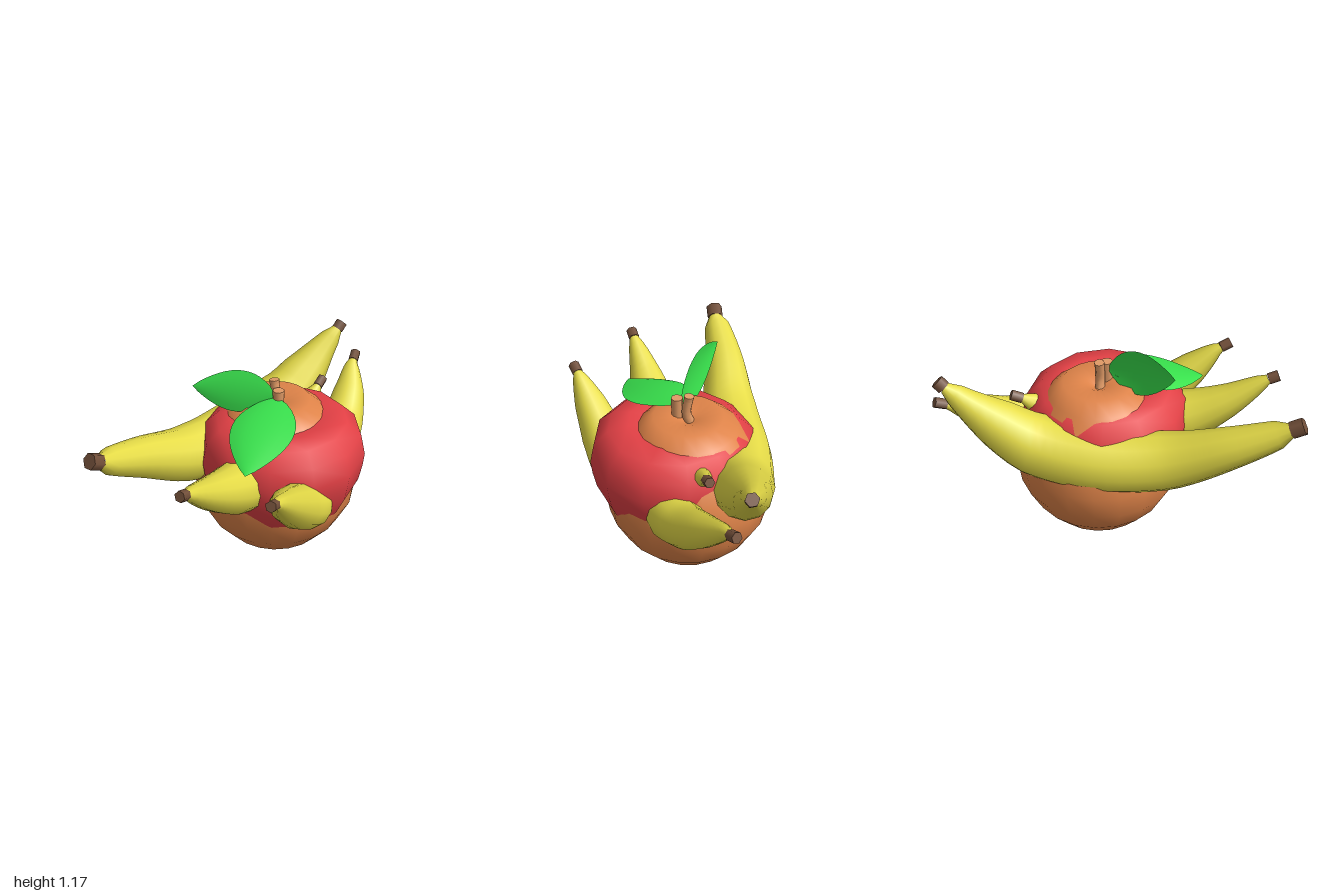
import * as THREE from 'three';

const V = (x, y, z) => new THREE.Vector3(x, y, z);
const mat = (color, side = THREE.FrontSide) => new THREE.MeshStandardMaterial({ color, side });
const skin = mat(0xe6dc48), brown = mat(0x73503a), wood = mat(0xe09a66);
const green = mat(0x38e04c, THREE.DoubleSide);

function part(name, geometry, material) {
  const mesh = new THREE.Mesh(geometry, material);
  mesh.name = name;
  return mesh;
}

// Round fruit turned from a bottom-to-top profile of [radius, height]
function fruit(name, profile, sides, color, x, z) {
  const points = profile.map(([r, y]) => new THREE.Vector2(r, y));
  const mesh = part(name, new THREE.LatheGeometry(points, sides), mat(color));
  mesh.position.set(x, 0, z);
  return mesh;
}

// Straight cylinder between two points
function rod(name, a, b, r0, r1, sides, material) {
  const dir = b.clone().sub(a);
  const mesh = part(name, new THREE.CylinderGeometry(r1, r0, dir.length(), sides), material);
  mesh.position.copy(a).add(b).multiplyScalar(0.5);
  mesh.quaternion.setFromUnitVectors(V(0, 1, 0), dir.normalize());
  return mesh;
}

// Tapered curved body; stations are [x, y, z, radius], tips are [endPoint, radius]
function banana(name, stations, startTip, endTip) {
  const group = new THREE.Group();
  group.name = name;
  const path = new THREE.CatmullRomCurve3(stations.map(s => V(s[0], s[1], s[2])));
  const steps = 28, sides = 12, last = stations.length - 1;
  const geo = new THREE.TubeGeometry(path, steps, 1, sides);
  const pos = geo.attributes.position, v = V(0, 0, 0);
  for (let i = 0; i <= steps; i++) {
    const center = path.getPointAt(i / steps);
    const t = path.getUtoTmapping(i / steps) * last;
    const k = Math.min(Math.floor(t), last - 1);
    const r = THREE.MathUtils.lerp(stations[k][3], stations[k + 1][3], t - k);
    for (let j = 0; j <= sides; j++) {
      const n = i * (sides + 1) + j;
      v.fromBufferAttribute(pos, n).sub(center).multiplyScalar(r).add(center);
      pos.setXYZ(n, v.x, v.y, v.z);
    }
  }
  group.add(part('bananaBody', geo, skin));
  [[startTip, 0], [endTip, last]].forEach(([tip, index]) => {
    if (!tip) return;
    const [x, y, z] = stations[index];
    group.add(rod('bananaTip', V(x, y, z), V(...tip[0]), tip[1], tip[1], 6, brown));
  });
  return group;
}

// Pointed leaf: spine from base to tip, half-width vector, and an arch vector for the midrib
function leaf(name, base, tip, half, arch) {
  const geo = new THREE.PlaneGeometry(1, 1, 14, 6);
  const pos = geo.attributes.position;
  for (let i = 0; i < pos.count; i++) {
    const u = pos.getX(i) + 0.5, w = pos.getY(i) * 2;
    const width = Math.pow(Math.sin(Math.PI * Math.pow(u, 0.85)), 0.85) || 0;
    const p = base.clone().lerp(tip, u)
      .addScaledVector(half, w * width)
      .addScaledVector(arch, Math.sin(Math.PI * u) * (1 - 0.9 * w * w));
    pos.setXYZ(i, p.x, p.y, p.z);
  }
  geo.computeVertexNormals();
  return part(name, geo, green);
}

export function createModel() {
  const model = new THREE.Group();
  model.name = 'fruitPile';

  // Orange at the base and apple merged into its front
  model.add(fruit('orange', [[0, 0], [0.14, 0.025], [0.27, 0.09], [0.37, 0.2], [0.44, 0.33],
    [0.46, 0.47], [0.435, 0.62], [0.355, 0.75], [0.265, 0.855], [0.19, 0.92], [0.07, 0.905], [0, 0.87]],
    20, 0xe08449, 0.1, -0.055));
  model.add(fruit('apple', [[0, 0.16], [0.2, 0.17], [0.3, 0.26], [0.382, 0.38], [0.43, 0.48],
    [0.45, 0.57], [0.46, 0.65], [0.437, 0.765], [0.36, 0.84], [0.25, 0.863], [0.1, 0.82], [0, 0.78]],
    12, 0xe24045, 0.063, 0.017));

  // Bananas
  model.add(banana('backBanana', [
    [-0.91, 0.885, -0.4, 0.039], [-0.88, 0.87, -0.4, 0.066], [-0.62, 0.765, -0.4, 0.112],
    [-0.28, 0.638, -0.365, 0.16], [0.1, 0.613, -0.35, 0.168], [0.43, 0.665, -0.288, 0.17],
    [0.62, 0.772, -0.262, 0.135], [0.77, 0.875, -0.243, 0.085], [0.88, 0.955, -0.222, 0.044],
    [0.9, 0.965, -0.22, 0.03]],
    [[-0.975, 0.918, -0.405], 0.046], [[0.935, 1.0, -0.213], 0.038]));
  model.add(banana('middleBanana', [
    [-0.82, 0.85, 0.105, 0.026], [-0.79, 0.835, 0.1, 0.038], [-0.6, 0.725, 0.07, 0.095],
    [-0.4, 0.64, 0.055, 0.142], [-0.1, 0.57, 0.03, 0.15], [0.2, 0.62, -0.02, 0.12],
    [0.42, 0.755, -0.06, 0.06], [0.48, 0.79, -0.07, 0.04], [0.51, 0.805, -0.072, 0.024]],
    [[-0.875, 0.87, 0.112], 0.031], [[0.57, 0.83, -0.08], 0.029]));
  model.add(banana('frontBanana', [
    [-0.57, 0.81, 0.468, 0.026], [-0.54, 0.795, 0.46, 0.04], [-0.42, 0.705, 0.42, 0.09],
    [-0.25, 0.58, 0.365, 0.127], [-0.08, 0.475, 0.315, 0.133], [0.07, 0.41, 0.22, 0.09]],
    [[-0.625, 0.835, 0.485], 0.031], null));
  model.add(banana('sideBanana', [
    [0.92, 0.78, -0.112, 0.025], [0.89, 0.768, -0.1, 0.038], [0.75, 0.675, -0.02, 0.092],
    [0.6, 0.585, 0.045, 0.123], [0.45, 0.545, 0.095, 0.14], [0.2, 0.5, 0.12, 0.09]],
    [[0.978, 0.806, -0.135], 0.031], null));

  // Stems
  model.add(rod('appleStem', V(0.055, 0.8, 0), V(0.055, 1.01, 0), 0.028, 0.032, 8, wood));
  const bentStem = new THREE.CatmullRomCurve3([V(0.09, 0.86, -0.07), V(0.09, 0.93, -0.045), V(0.092, 1.03, -0.058)]);
  model.add(part('orangeStem', new THREE.TubeGeometry(bentStem, 6, 0.026, 8), wood));
  model.add(rod('orangeStemEnd', V(0.092, 1.015, -0.056), V(0.093, 1.04, -0.059), 0.026, 0.028, 8, wood));

  // Leaves: one lying over the apple, one standing behind it
  model.add(leaf('lyingLeaf', V(0.055, 0.965, -0.01), V(-0.465, 0.805, 0.19), V(0.06, 0.005, 0.163), V(-0.01, 0.03, -0.03)));
  model.add(leaf('standingLeaf', V(0.05, 0.975, -0.02), V(-0.31, 1.1, -0.29), V(0.01, 0.128, 0.015), V(-0.01, 0, 0.015)));
  return model;
}
